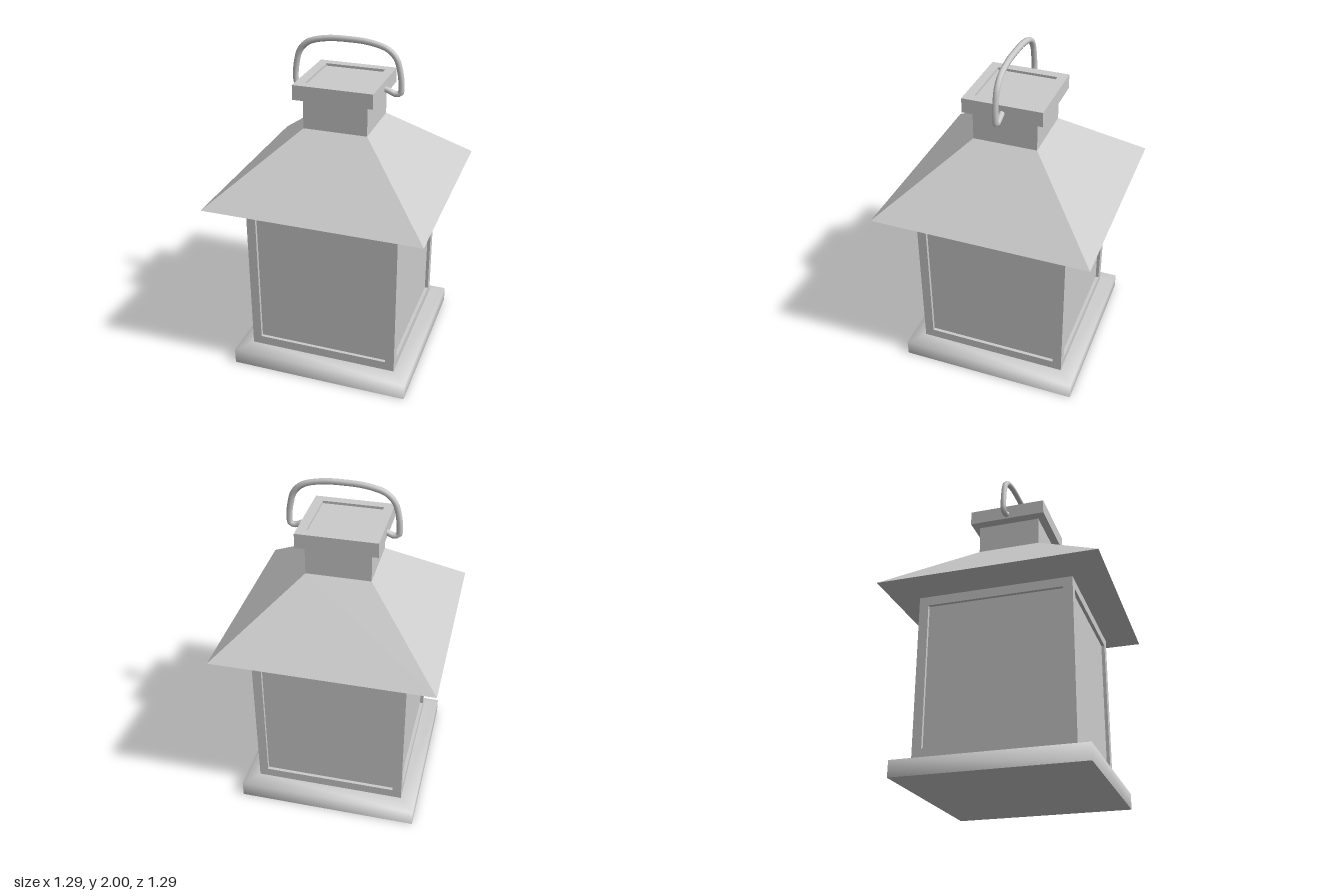
import * as THREE from 'three';

const material = new THREE.MeshStandardMaterial({ color: 0xcccccc });

function part(name, geometry, parent) {
  const mesh = new THREE.Mesh(geometry, material);
  mesh.name = name;
  parent.add(mesh);
  return mesh;
}

// Four-sided solid from a [halfWidth, y] profile listed bottom to top
function square(profile, smooth = false) {
  const points = profile.map(([r, y]) => new THREE.Vector2(r * Math.SQRT2, y));
  const lathe = new THREE.LatheGeometry(points, 4, Math.PI / 4);
  if (smooth) return lathe;
  const flat = lathe.toNonIndexed();
  flat.computeVertexNormals();
  return flat;
}

// Rectangular frame with an opening, its front face at z = 0.455
function frameGeometry() {
  const rect = (target, w, y0, y1) => target
    .moveTo(-w, y0).lineTo(w, y0).lineTo(w, y1).lineTo(-w, y1).closePath();
  const shape = rect(new THREE.Shape(), 0.455, 0.112, 1.08);
  shape.holes.push(rect(new THREE.Path(), 0.4, 0.17, 1.025));
  const geometry = new THREE.ExtrudeGeometry(shape, { depth: 0.02, bevelEnabled: false });
  return geometry.translate(0, 0, 0.435);
}

export function createModel() {
  const lantern = new THREE.Group();
  lantern.name = 'lantern';

  // Softly shaded plinth with a flat underside
  part('base', square([[0.545, 0], [0.545, 0.095], [0.453, 0.115]], true), lantern);
  part('baseUnderside', square([[0, 0], [0.545, 0]]), lantern);

  // Recessed panes behind four frames
  part('panes', square([[0.435, 0.1], [0.435, 1.08]]), lantern);
  const frame = frameGeometry();
  for (let i = 0; i < 4; i++) {
    part('windowFrame', frame, lantern).rotation.y = i * Math.PI / 2;
  }

  // Hipped roof with sloping eaves, then the chimney and its recessed cap
  part('roof', square([[0.45, 1.08], [0.643, 1.115], [0.19, 1.495]]), lantern);
  part('chimney', square([[0.19, 1.495], [0.19, 1.67]]), lantern);
  part('cap', square([
    [0.19, 1.668], [0.235, 1.678], [0.235, 1.765],
    [0.18, 1.765], [0.18, 1.75], [0, 1.75],
  ]), lantern);

  // Wire bail handle, mirrored about a slightly offset centre
  const half = [
    [0.2, 1.72], [0.245, 1.708], [0.285, 1.692], [0.312, 1.7], [0.317, 1.74],
    [0.308, 1.82], [0.285, 1.895], [0.235, 1.945], [0.13, 1.975],
  ];
  const centre = 0.012;
  const points = [
    ...half.map(([x, y]) => new THREE.Vector3(centre + x, y, 0)),
    new THREE.Vector3(centre, 1.982, 0),
    ...half.slice().reverse().map(([x, y]) => new THREE.Vector3(centre - x, y, 0)),
  ];
  const curve = new THREE.CatmullRomCurve3(points, false, 'centripetal');
  part('handle', new THREE.TubeGeometry(curve, 72, 0.018, 8), lantern);

  return lantern;
}
